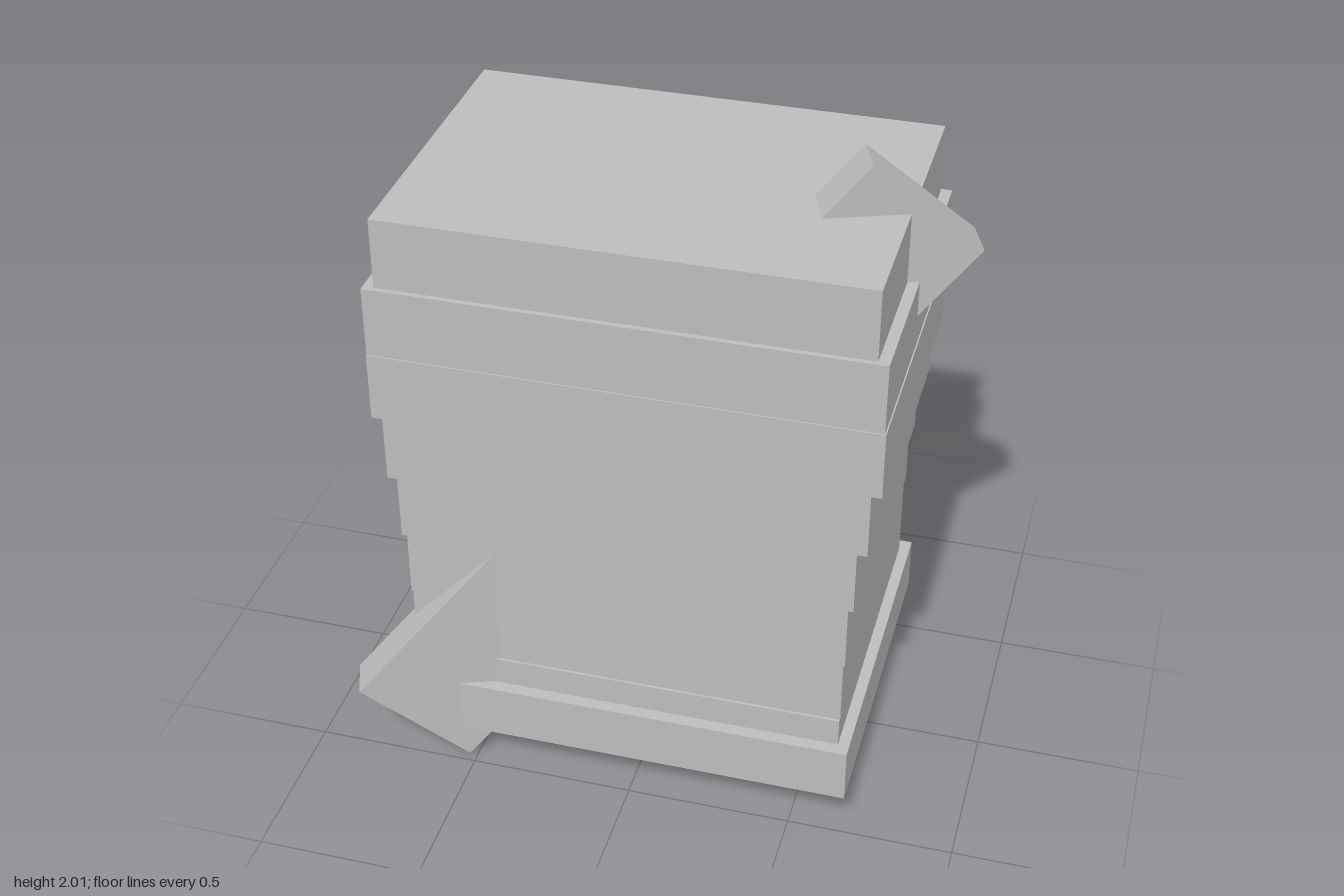
import * as THREE from 'three';

export function createModel() {
  const model = new THREE.Group();
  const grey = new THREE.MeshStandardMaterial({ color: 0xbcbcbc });
  grey.name = 'grey';

  // Stacked slabs of the body: name, yMin, yMax, xMin, xMax, zMin, zMax
  const slabs = [
    ['base', 0.11, 0.285, -0.72, 0.664, -0.586, 0.477],
    ['baseCollar', 0.285, 0.375, -0.69, 0.63, -0.544, 0.438],
    ['lowerBody', 0.375, 0.58, -0.69, 0.631, -0.536, 0.43],
    ['middleBody', 0.58, 0.79, -0.695, 0.636, -0.536, 0.43],
    ['upperBody', 0.79, 1.0, -0.71, 0.652, -0.539, 0.433],
    ['shoulder', 1.0, 1.21, -0.737, 0.683, -0.546, 0.44],
    ['lowerRim', 1.21, 1.42, -0.767, 0.714, -0.552, 0.446],
    ['upperRim', 1.42, 1.635, -0.767, 0.71, -0.546, 0.441],
    ['lid', 1.635, 1.85, -0.735, 0.677, -0.53, 0.425],
  ];
  for (const [name, y0, y1, x0, x1, z0, z1] of slabs) {
    const slab = new THREE.Mesh(new THREE.BoxGeometry(x1 - x0, y1 - y0, z1 - z0), grey);
    slab.position.set((x0 + x1) / 2, (y0 + y1) / 2, (z0 + z1) / 2);
    slab.name = name;
    model.add(slab);
  }

  // Slanted plank running diagonally through the body
  const plank = new THREE.Mesh(new THREE.BoxGeometry(0.427, 2.287, 0.128), grey);
  plank.position.set(0, 1, 0.2);
  plank.rotation.set(0, 0.366, -0.714);
  plank.name = 'diagonalPlank';
  model.add(plank);

  return model;
}
